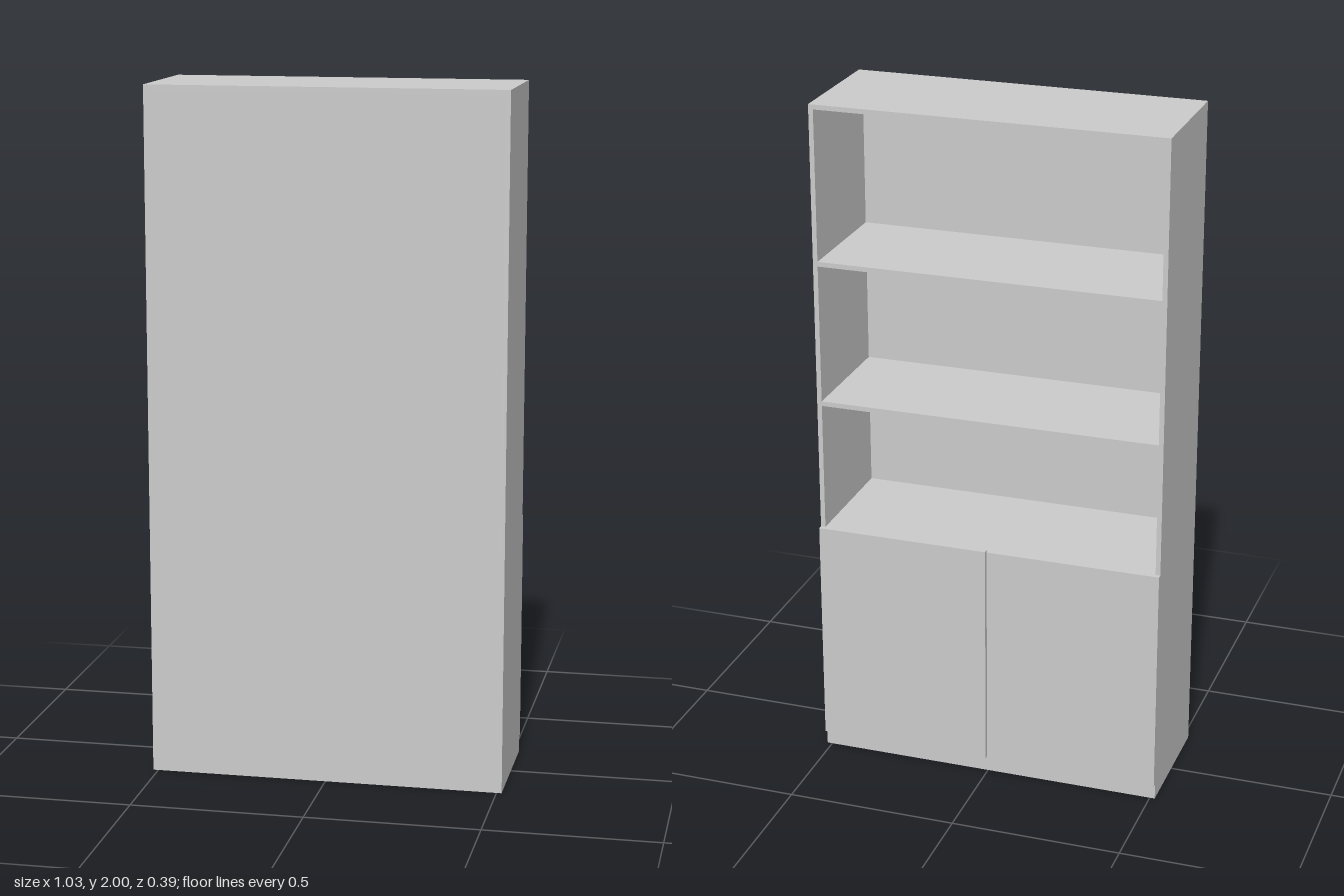
import * as THREE from 'three';

export function createModel() {
  const group = new THREE.Group();
  group.name = 'bookcase';
  const material = new THREE.MeshStandardMaterial({ color: 0xcccccc, flatShading: true });

  const W = 1.03, H = 2, T = 0.014;           // width, height, board thickness
  const zOpen = -0.183, zWall = 0.197;        // open side and closed side of the carcass
  const doorBottom = 0.047, doorTop = 0.725, doorGap = 0.005;

  // Board given by its minimum and maximum corners
  function board(name, x0, x1, y0, y1, z0, z1) {
    const mesh = new THREE.Mesh(new THREE.BoxGeometry(x1 - x0, y1 - y0, z1 - z0), material);
    mesh.position.set((x0 + x1) / 2, (y0 + y1) / 2, (z0 + z1) / 2);
    mesh.name = name;
    group.add(mesh);
  }

  const inner = W / 2 - T;
  const zInner = zWall - 0.01;

  // Carcass
  board('leftSide', inner, W / 2, 0, H, zOpen, zWall);
  board('rightSide', -W / 2, -inner, 0, H, zOpen, zWall);
  board('topPanel', -inner, inner, H - T, H, zOpen, zWall);
  board('wallPanel', -inner, inner, 0, H - T, zInner, zWall);
  board('plinth', -inner, inner, 0, doorBottom + T, zOpen, zInner);

  // Shelves, by the height of their upper face
  [doorTop, 1.122, 1.545].forEach((y, i) =>
    board(`shelf${i + 1}`, -inner, inner, y - T, y, zOpen, zInner));

  // Pair of cupboard doors with a narrow gap between them
  board('leftDoor', doorGap / 2, W / 2, doorBottom, doorTop, -0.197, zOpen);
  board('rightDoor', -W / 2, -doorGap / 2, doorBottom, doorTop, -0.197, zOpen);

  return group;
}
